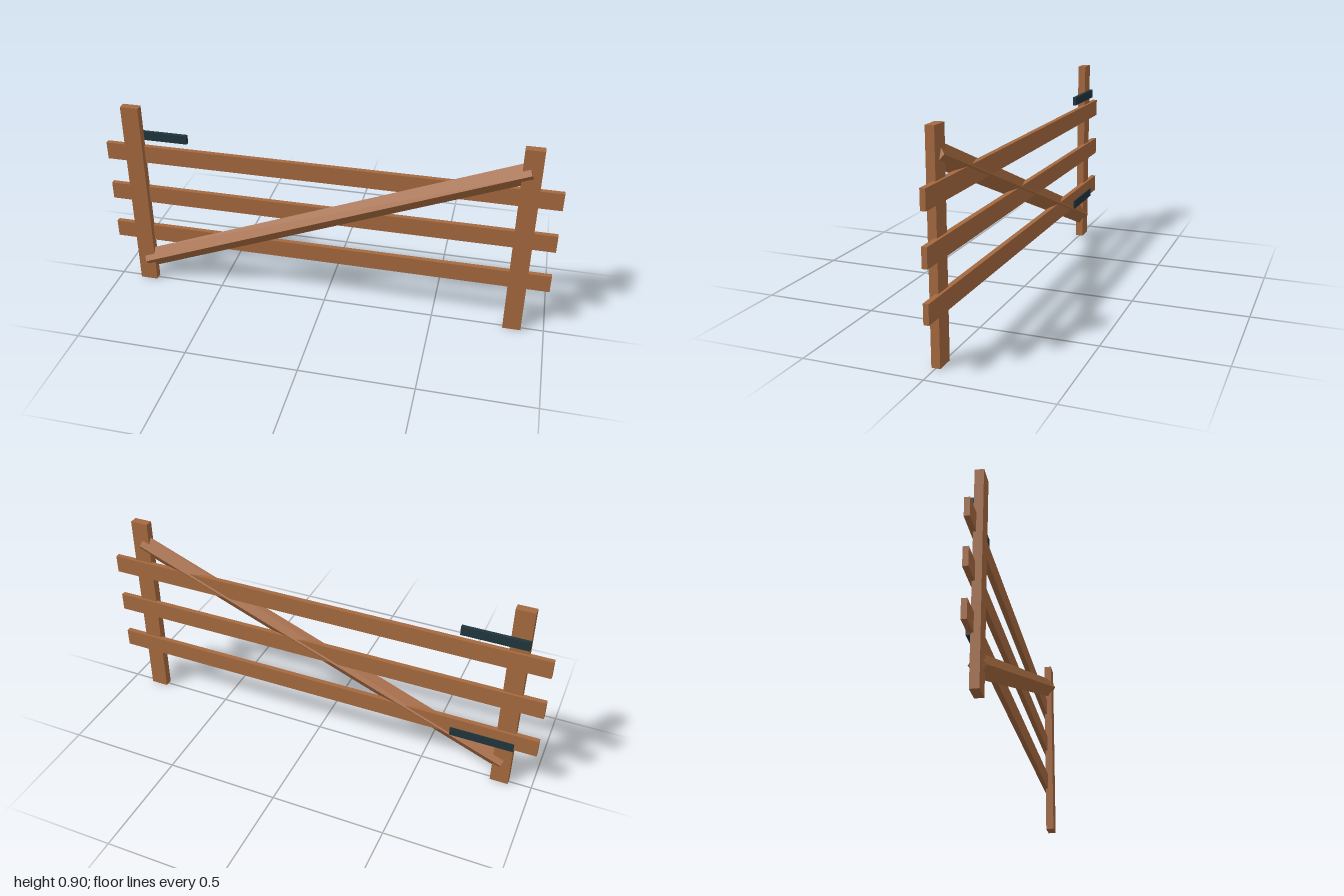
import * as THREE from 'three';

export function createModel() {
  const gate = new THREE.Group();
  gate.name = 'gate';

  const wood = new THREE.MeshStandardMaterial({ color: 0xa5693f, flatShading: true });
  wood.name = 'wood';
  const iron = new THREE.MeshStandardMaterial({ color: 0x20353d, flatShading: true });
  iron.name = 'dark iron';

  function add(name, geometry, material, x, y, z) {
    const mesh = new THREE.Mesh(geometry, material);
    mesh.name = name;
    mesh.position.set(x, y, z);
    gate.add(mesh);
    return mesh;
  }

  // Upright posts
  const postGeometry = new THREE.BoxGeometry(0.08, 0.897, 0.036);
  add('leftPost', postGeometry, wood, 0.86, 0.4485, 0);
  add('rightPost', postGeometry, wood, -0.86, 0.4485, 0);

  // Horizontal rails, set towards the back of the posts
  const railGeometry = new THREE.BoxGeometry(2, 0.08, 0.022);
  ['lowerRail', 'middleRail', 'upperRail'].forEach((name, i) => {
    add(name, railGeometry, wood, 0, 0.25 + i * 0.206, -0.018);
  });

  // Diagonal brace with a diamond cross-section, running post to post
  const run = 1.72, rise = 0.685;
  const braceGeometry = new THREE.CylinderGeometry(0.034, 0.034, Math.hypot(run, rise), 4);
  braceGeometry.scale(1.4, 1, 1);
  const brace = add('diagonalBrace', braceGeometry, wood, 0, 0.448, 0);
  brace.rotation.z = Math.atan2(rise, run) - Math.PI / 2;

  // Strap hinges on the back of the right post
  const hingeGeometry = new THREE.BoxGeometry(0.28, 0.04, 0.016);
  add('lowerHinge', hingeGeometry, iron, -0.762, 0.222, -0.026);
  add('upperHinge', hingeGeometry, iron, -0.762, 0.75, -0.026);

  return gate;
}
